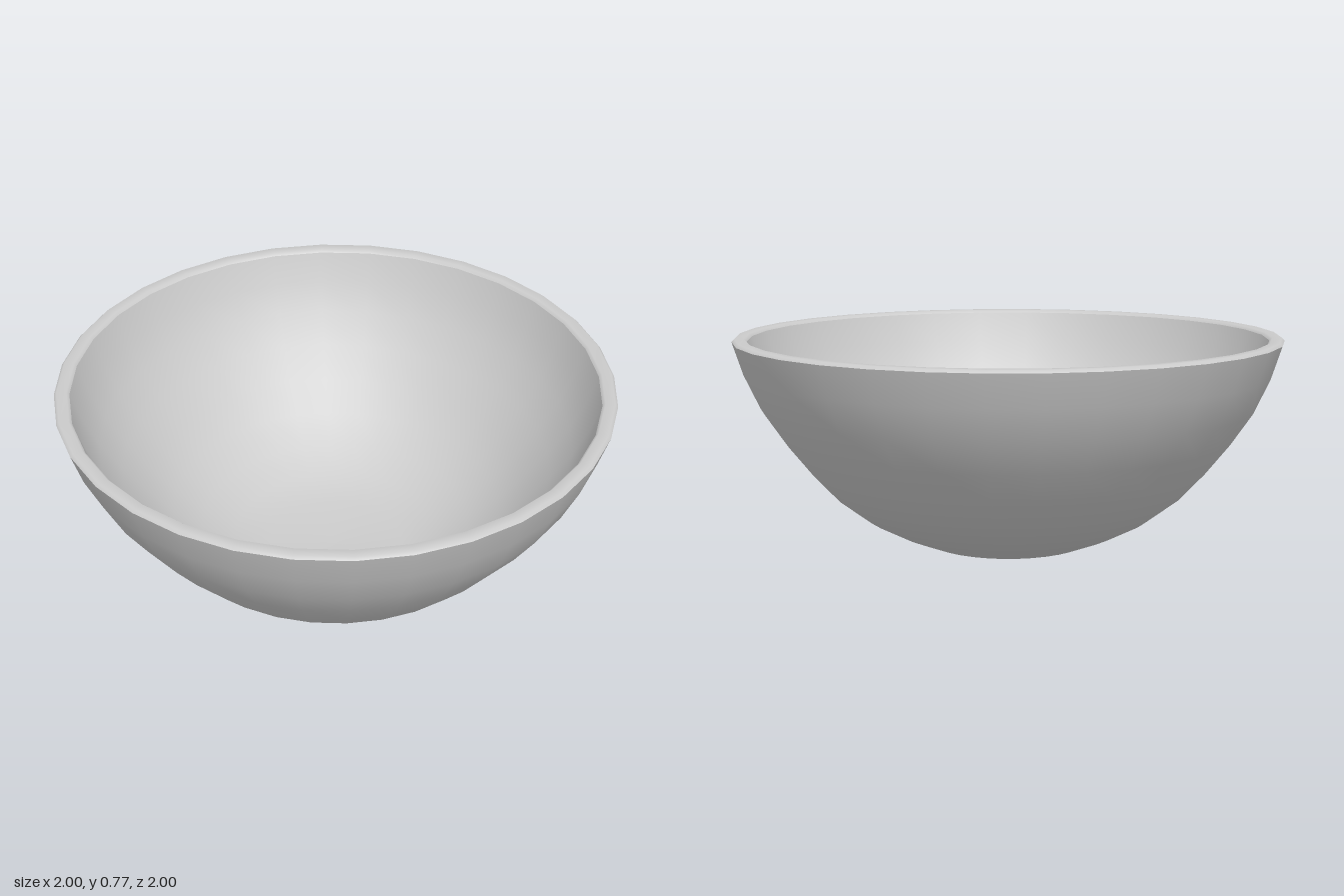
import * as THREE from 'three';

const SIDES = 32;

export function createModel() {
  const bowl = new THREE.Group();
  bowl.name = 'bowl';
  const material = new THREE.MeshStandardMaterial({ color: 0xcccccc });

  // Turns a [radius, height] profile; separate parts keep a hard edge between them
  function turned(name, profile) {
    const points = profile.map(([r, y]) => new THREE.Vector2(r, y));
    const mesh = new THREE.Mesh(new THREE.LatheGeometry(points, SIDES), material);
    mesh.name = name;
    bowl.add(mesh);
  }

  // Flat foot
  turned('base', [[0, 0], [0.26, 0]]);

  // Curved outside, from foot to lip
  turned('outerWall', [
    [0.26, 0], [0.28, 0.005], [0.4, 0.05], [0.52, 0.11], [0.635, 0.195],
    [0.73, 0.295], [0.82, 0.405], [0.9, 0.52], [0.96, 0.645], [1, 0.765],
  ]);

  // Flat lip with a small bevel on each edge
  turned('rim', [[1, 0.765], [0.99, 0.775], [0.955, 0.775], [0.945, 0.765]]);

  // Hollow inside, following the outside at wall thickness
  turned('innerWall', [
    [0.945, 0.765], [0.91, 0.66], [0.855, 0.545], [0.78, 0.435], [0.695, 0.33],
    [0.605, 0.235], [0.495, 0.155], [0.38, 0.097], [0.25, 0.055], [0, 0.05],
  ]);

  return bowl;
}
